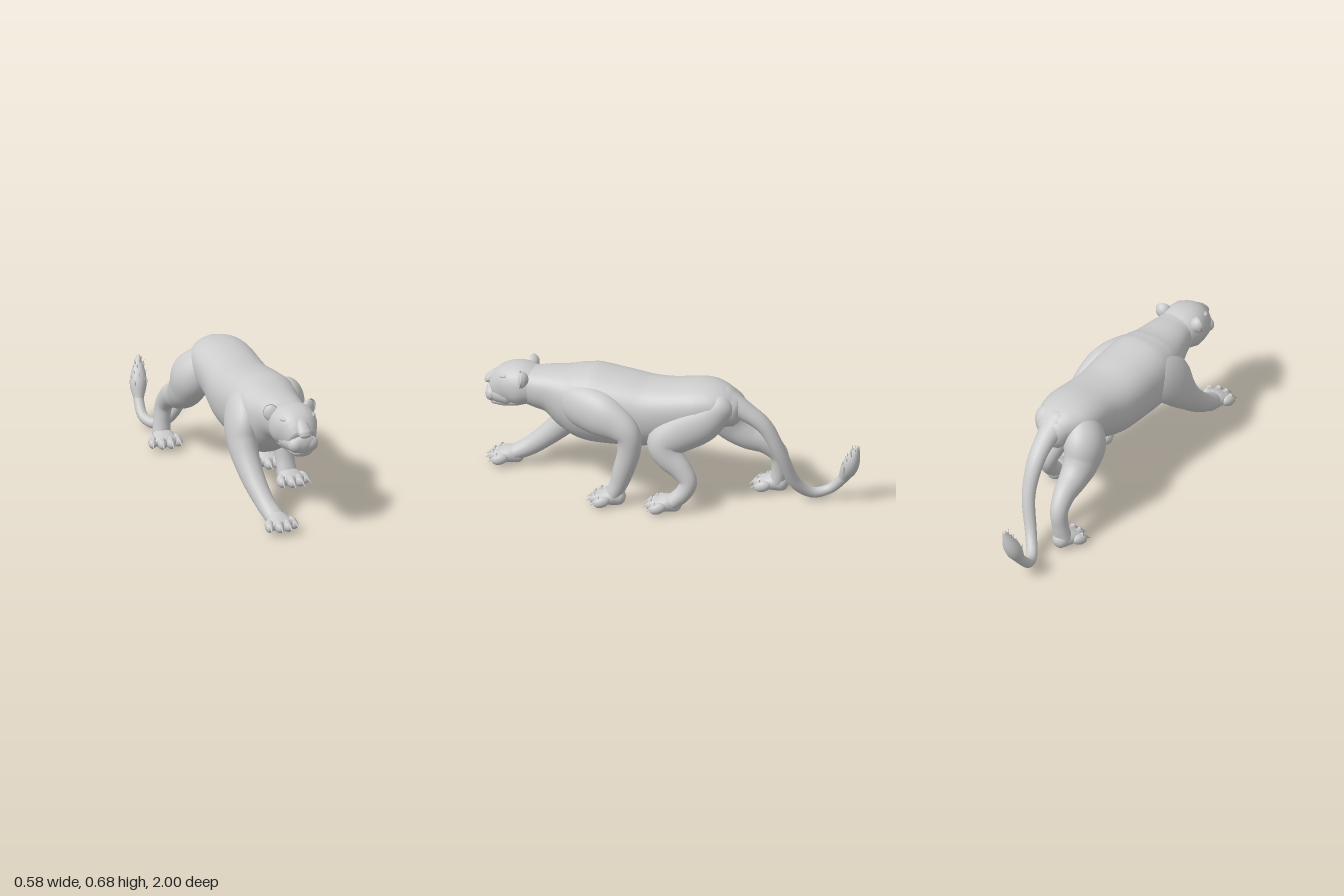
import * as THREE from 'three';

const material = new THREE.MeshStandardMaterial({ color: 0xcccccc });
const earMaterial = new THREE.MeshStandardMaterial({ color: 0xcccccc, side: THREE.DoubleSide });

function addMesh(parent, name, geometry, mat = material) {
  const mesh = new THREE.Mesh(geometry, mat);
  mesh.name = name;
  parent.add(mesh);
  return mesh;
}

// Smooth skin over elliptical stations [x, y, z, halfWidth, halfDepth], with rounded ends
function loft(stations, { sides = 28, steps = 6, startCap = 0.8, endCap = 0.8, power = 1, taper = 0 } = {}) {
  const path = new THREE.CatmullRomCurve3(stations.map(s => new THREE.Vector3(s[0], s[1], s[2])), false, 'catmullrom');
  const size = new THREE.CatmullRomCurve3(stations.map(s => new THREE.Vector3(s[3], s[4], 0)), false, 'catmullrom');
  const rings = [];
  const n = (stations.length - 1) * steps;
  const capAngles = [0.995, 0.85, 0.65, 0.45, 0.22].map(v => v * Math.PI / 2);
  const ring = (t, phi, cap) => {
    const r = size.getPoint(t);
    const tangent = path.getTangent(t);
    const center = path.getPoint(t).addScaledVector(tangent, cap * Math.min(r.x, r.y) * Math.sin(phi));
    rings.push({ center, tangent, a: r.x * Math.cos(phi), b: r.y * Math.cos(phi) });
  };
  capAngles.forEach(phi => ring(0, phi, -startCap));
  for (let i = 0; i <= n; i++) ring(i / n, 0, 0);
  [...capAngles].reverse().forEach(phi => ring(1, phi, endCap));

  const positions = [], index = [];
  const bulge = v => Math.sign(v) * Math.abs(v) ** power;
  rings.forEach(({ center, tangent, a, b }, i) => {
    const side = new THREE.Vector3(1, 0, 0).addScaledVector(tangent, -tangent.x).normalize();
    const up = tangent.clone().cross(side);
    for (let j = 0; j < sides; j++) {
      const angle = j / sides * Math.PI * 2;
      const width = a * bulge(Math.cos(angle)) * (1 - taper * Math.sin(angle));
      const p = center.clone().addScaledVector(side, width).addScaledVector(up, b * bulge(Math.sin(angle)));
      positions.push(p.x, p.y, p.z);
      if (i === rings.length - 1) continue;
      const p0 = i * sides + j, p1 = i * sides + (j + 1) % sides;
      index.push(p0, p1, p1 + sides, p0, p1 + sides, p0 + sides);
    }
  });
  const geometry = new THREE.BufferGeometry();
  geometry.setAttribute('position', new THREE.Float32BufferAttribute(positions, 3));
  geometry.setIndex(index);
  geometry.computeVertexNormals();
  return geometry;
}

function ellipsoid(parent, name, [x, y, z], [rx, ry, rz]) {
  const mesh = addMesh(parent, name, new THREE.SphereGeometry(1, 20, 14).scale(rx, ry, rz));
  mesh.position.set(x, y, z);
  return mesh;
}

// Paw with four toes and claws, heel at its origin and toes towards +z
function makePaw(name, x, y, z, yaw) {
  const paw = new THREE.Group();
  paw.name = name;
  paw.position.set(x, y, z);
  paw.rotation.y = yaw;
  addMesh(paw, 'pawPad', loft([
    [0, 0.046, 0.035, 0.044, 0.045], [0, 0.046, 0.08, 0.06, 0.044], [0, 0.037, 0.13, 0.07, 0.03],
  ], { sides: 24 }));
  [-0.064, -0.022, 0.022, 0.064].forEach((tx, i) => {
    const tz = i === 0 || i === 3 ? 0.116 : 0.142;
    const toe = ellipsoid(paw, 'toe', [tx, 0.036, tz], [0.024, 0.029, 0.043]);
    toe.rotation.set(0.3, tx * 4, 0);
    const claw = addMesh(paw, 'claw', new THREE.ConeGeometry(0.014, 0.07, 8).rotateX(2.2));
    claw.position.set(tx * 1.12, 0.037, tz + 0.038);
    claw.rotation.y = tx * 4;
  });
  return paw;
}

function makeHead() {
  const head = new THREE.Group();
  head.name = 'head';
  head.position.x = -0.01;
  addMesh(head, 'skull', loft([
    [0, 0.535, 0.7, 0.11, 0.095], [0, 0.535, 0.765, 0.125, 0.112], [0, 0.526, 0.82, 0.117, 0.112],
    [0, 0.508, 0.862, 0.098, 0.1], [0, 0.488, 0.9, 0.078, 0.076],
  ], { endCap: 0.25, startCap: 0.4, power: 0.9 }));
  addMesh(head, 'noseBridge', loft([
    [0, 0.6, 0.825, 0.06, 0.034], [0, 0.581, 0.872, 0.046, 0.035], [0, 0.557, 0.915, 0.037, 0.031],
    [0, 0.538, 0.945, 0.036, 0.024],
  ], { sides: 20, endCap: 0.9 }));
  addMesh(head, 'muzzle', loft([
    [0, 0.478, 0.83, 0.1, 0.07], [0, 0.476, 0.89, 0.086, 0.062], [0, 0.475, 0.932, 0.068, 0.05],
  ], { endCap: 0.5 }));
  addMesh(head, 'lowerJaw', loft([
    [0, 0.455, 0.78, 0.095, 0.035], [0, 0.438, 0.85, 0.075, 0.035], [0, 0.429, 0.912, 0.056, 0.027],
  ], { endCap: 0.9 }));
  ellipsoid(head, 'noseTip', [0, 0.532, 0.954], [0.032, 0.017, 0.016]);
  for (const s of [-1, 1]) {
    ellipsoid(head, 'lip', [s * 0.036, 0.472, 0.92], [0.046, 0.042, 0.037]);
    const eye = ellipsoid(head, 'eye', [s * 0.068, 0.57, 0.868], [0.023, 0.011, 0.015]);
    const brow = ellipsoid(head, 'brow', [s * 0.066, 0.592, 0.852], [0.036, 0.014, 0.024]);
    eye.rotation.set(0, s * 0.5, s * 0.2);
    brow.rotation.set(0, s * 0.5, s * 0.2);
    // Cupped ear opening forwards and outwards
    const ear = addMesh(head, 'ear',
      new THREE.SphereGeometry(1, 20, 10, 0, Math.PI * 2, 0, Math.PI / 2).rotateX(-Math.PI / 2).scale(0.042, 0.048, 0.046), earMaterial);
    ear.position.set(s * 0.108, 0.6, 0.755);
    ear.rotation.set(-0.15, s * 0.4, -s * 0.4);
    const inner = ellipsoid(head, 'innerEar', [s * 0.104, 0.596, 0.742], [0.04, 0.044, 0.02]);
    inner.rotation.set(-0.15, s * 0.4, -s * 0.4);
  }
  return head;
}

function makeTail() {
  const tail = new THREE.Group();
  tail.name = 'tail';
  addMesh(tail, 'tailStem', loft([
    [0, 0.585, -0.31, 0.085, 0.07], [0, 0.532, -0.42, 0.056, 0.05], [-0.01, 0.447, -0.53, 0.046, 0.04],
    [-0.025, 0.29, -0.61, 0.036, 0.034], [-0.08, 0.12, -0.667, 0.031, 0.031], [-0.14, 0.043, -0.74, 0.028, 0.028],
    [-0.18, 0.055, -0.825, 0.027, 0.026], [-0.178, 0.12, -0.893, 0.027, 0.027], [-0.165, 0.19, -0.935, 0.03, 0.035],
  ], { sides: 18 }));
  addMesh(tail, 'tuft', loft([
    [-0.176, 0.13, -0.9, 0.026, 0.028], [-0.167, 0.19, -0.931, 0.042, 0.043],
    [-0.155, 0.25, -0.957, 0.038, 0.038], [-0.143, 0.33, -0.986, 0.01, 0.01],
  ], { sides: 16 }));
  // Hair points stepping up the tuft
  for (let i = 0; i < 20; i++) {
    const u = i / 19, angle = i * 2.4;
    const out = new THREE.Vector3(Math.cos(angle), 0.1, Math.sin(angle) * 0.6 + 0.45);
    const lock = addMesh(tail, 'tuftLock', new THREE.ConeGeometry(0.013, 0.075, 6));
    lock.position.set(-0.167 + 0.02 * u, 0.19 + 0.11 * u, -0.933 - 0.042 * u).addScaledVector(out, 0.036 - 0.022 * u);
    const aim = out.multiplyScalar(0.4).add(new THREE.Vector3(0.1, 1, -0.3)).normalize();
    lock.quaternion.setFromUnitVectors(new THREE.Vector3(0, 1, 0), aim);
  }
  return tail;
}

export function createModel() {
  const model = new THREE.Group();
  model.name = 'prowlingLioness';

  addMesh(model, 'body', loft([
    [-0.005, 0.533, 0.76, 0.1, 0.097], [-0.005, 0.525, 0.68, 0.115, 0.11], [-0.01, 0.518, 0.6, 0.135, 0.13],
    [-0.015, 0.492, 0.5, 0.168, 0.179], [-0.015, 0.473, 0.4, 0.186, 0.207], [-0.012, 0.465, 0.25, 0.186, 0.2],
    [-0.01, 0.465, 0.1, 0.18, 0.185], [-0.003, 0.497, -0.05, 0.168, 0.158], [-0.005, 0.533, -0.2, 0.165, 0.142],
    [0, 0.543, -0.28, 0.143, 0.122], [0, 0.53, -0.36, 0.09, 0.09],
  ], { sides: 40, power: 0.92, endCap: 0.6, taper: 0.12 }));
  model.add(makeHead(), makeTail());

  // Limbs, each following its own step of the stride
  const legs = {
    leftFrontLeg: [
      [0.05, 0.5, 0.56, 0.05, 0.08], [0.108, 0.505, 0.43, 0.082, 0.115], [0.155, 0.487, 0.3, 0.086, 0.118],
      [0.185, 0.445, 0.19, 0.066, 0.086], [0.19, 0.395, 0.145, 0.06, 0.066], [0.187, 0.31, 0.145, 0.057, 0.06],
      [0.185, 0.2, 0.175, 0.054, 0.055], [0.185, 0.12, 0.2, 0.05, 0.047], [0.185, 0.055, 0.23, 0.053, 0.042],
    ],
    rightFrontLeg: [
      [-0.06, 0.56, 0.3, 0.07, 0.1], [-0.12, 0.515, 0.38, 0.09, 0.125], [-0.16, 0.445, 0.45, 0.085, 0.13],
      [-0.175, 0.36, 0.505, 0.076, 0.1], [-0.177, 0.28, 0.57, 0.067, 0.075], [-0.168, 0.19, 0.66, 0.058, 0.06],
      [-0.152, 0.11, 0.76, 0.05, 0.05], [-0.137, 0.065, 0.845, 0.052, 0.042],
    ],
    leftHindLeg: [
      [0.055, 0.57, -0.31, 0.08, 0.08], [0.09, 0.49, -0.215, 0.092, 0.112], [0.115, 0.42, -0.1, 0.084, 0.108],
      [0.135, 0.365, -0.03, 0.076, 0.09], [0.147, 0.3, -0.05, 0.068, 0.076], [0.158, 0.23, -0.125, 0.054, 0.058],
      [0.168, 0.17, -0.165, 0.045, 0.048], [0.178, 0.11, -0.145, 0.044, 0.044], [0.185, 0.055, -0.09, 0.052, 0.042],
    ],
    rightHindLeg: [
      [-0.06, 0.58, -0.21, 0.08, 0.09], [-0.132, 0.475, -0.265, 0.105, 0.125], [-0.15, 0.385, -0.32, 0.09, 0.106],
      [-0.154, 0.325, -0.395, 0.074, 0.08], [-0.165, 0.285, -0.49, 0.057, 0.063], [-0.178, 0.22, -0.553, 0.046, 0.05],
      [-0.188, 0.14, -0.557, 0.043, 0.044], [-0.195, 0.06, -0.545, 0.05, 0.044],
    ],
  };
  for (const [name, stations] of Object.entries(legs)) addMesh(model, name, loft(stations, { endCap: 0.4 }));

  model.add(
    makePaw('leftFrontPaw', 0.178, 0, 0.165, 0.12),
    makePaw('rightFrontPaw', -0.137, 0.01, 0.795, 0.05),
    makePaw('leftHindPaw', 0.176, 0, -0.135, 0.1),
    makePaw('rightHindPaw', -0.188, 0.005, -0.6, -0.12),
  );
  return model;
}
